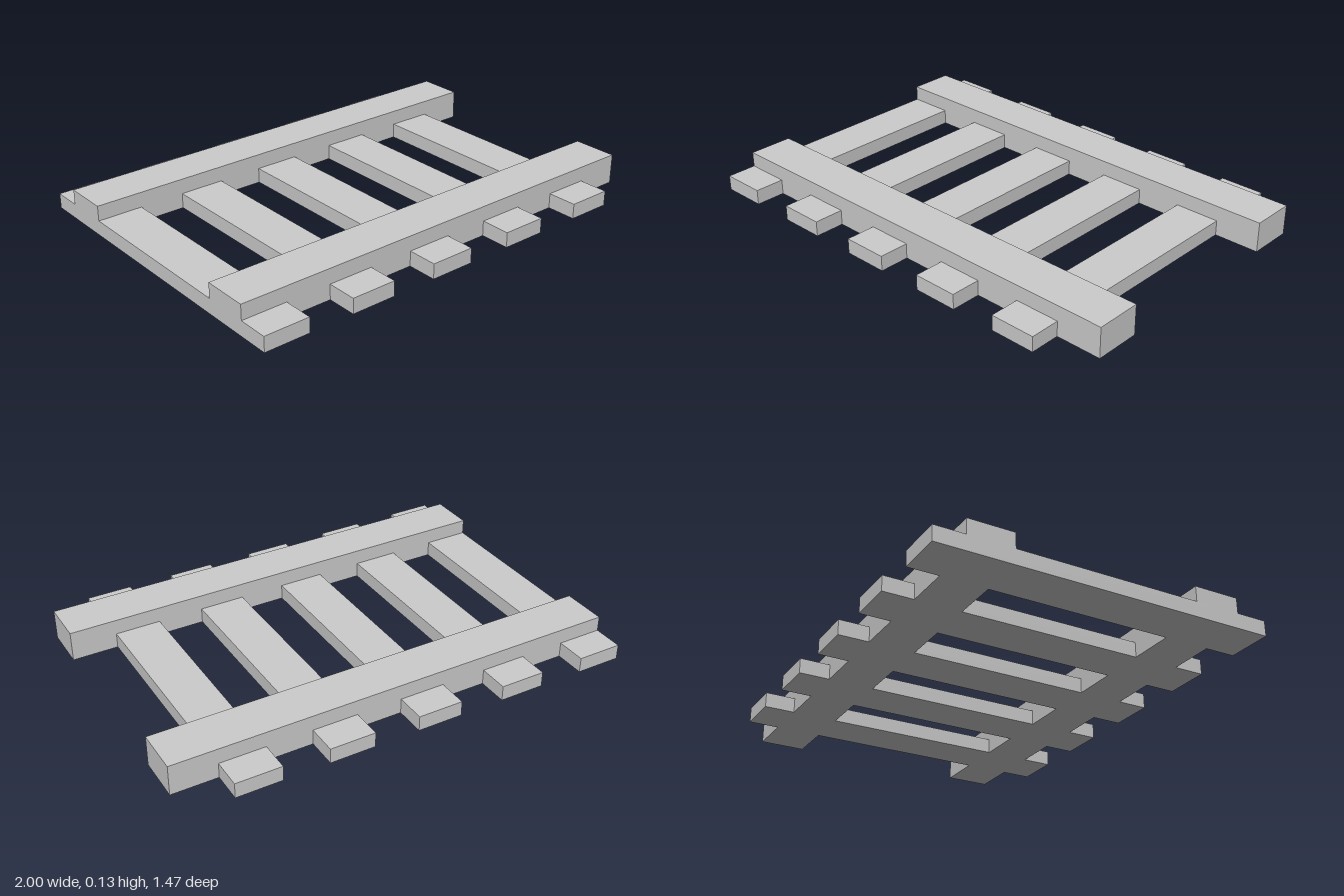
import * as THREE from 'three';

const material = new THREE.MeshStandardMaterial({ color: 0xcccccc, flatShading: true });

// Box standing on the ground, centred at (x, z)
function beam(name, width, height, depth, x, z) {
  const mesh = new THREE.Mesh(new THREE.BoxGeometry(width, height, depth), material);
  mesh.name = name;
  mesh.position.set(x, height / 2, z);
  return mesh;
}

export function createModel() {
  const track = new THREE.Group();
  track.name = 'trackSection';

  // Two long rails, front and back
  track.add(beam('frontRail', 2, 0.1333, 0.2, 0, 0.5));
  track.add(beam('backRail', 2, 0.1333, 0.2, 0, -0.5));

  // Five low sleepers crossing beneath the rails, starting flush with the right end
  for (let i = 0; i < 5; i++) {
    track.add(beam(`sleeper${i + 1}`, 0.2, 0.0667, 1.4667, -0.9 + i * 0.4, 0));
  }

  return track;
}
